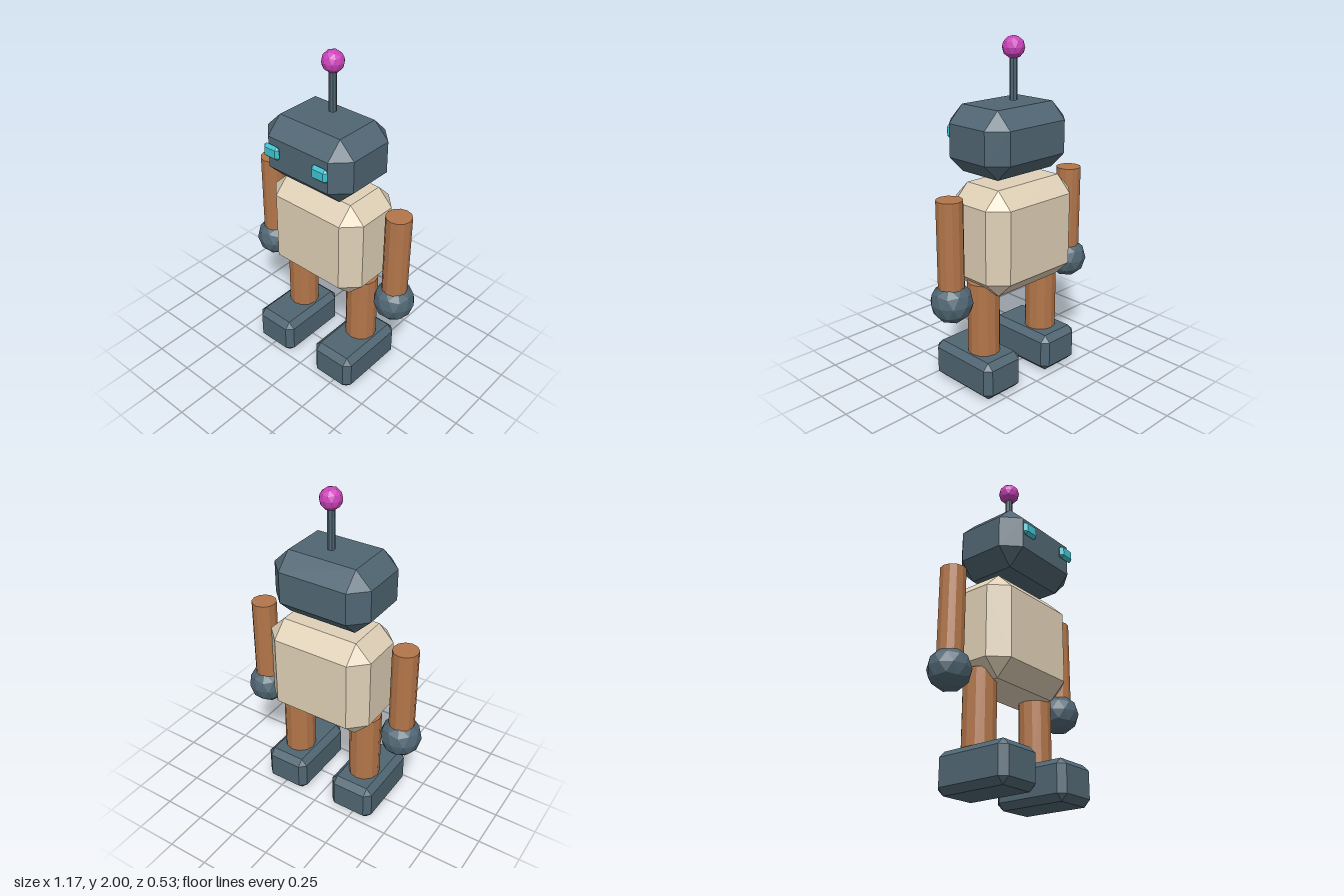
import * as THREE from 'three';
import { ConvexGeometry } from 'three/addons/geometries/ConvexGeometry.js';

const paint = (name, hex) => {
  const m = new THREE.MeshStandardMaterial({ color: hex });
  m.name = name;
  return m;
};

// Box with flat chamfers on every edge and a triangle on every corner
function chamferBox(w, h, d, b) {
  const x = w / 2, y = h / 2, z = d / 2, points = [];
  for (const sx of [-1, 1]) for (const sy of [-1, 1]) for (const sz of [-1, 1]) {
    points.push(
      new THREE.Vector3(sx * x, sy * (y - b), sz * (z - b)),
      new THREE.Vector3(sx * (x - b), sy * y, sz * (z - b)),
      new THREE.Vector3(sx * (x - b), sy * (y - b), sz * z));
  }
  return new ConvexGeometry(points);
}

// Faceted upright cylinder
function post(radius, height, sides) {
  const g = new THREE.CylinderGeometry(radius, radius, height, sides).toNonIndexed();
  g.computeVertexNormals();
  return g;
}

// Faceted ball with a vertex at each pole
function ball(radius) {
  const g = new THREE.IcosahedronGeometry(radius, 1);
  g.rotateZ(Math.atan(2 / (1 + Math.sqrt(5))));
  g.computeVertexNormals();
  return g;
}

export function createModel() {
  const slate = paint('slate', 0x506673);
  const cream = paint('cream', 0xe0d1b7);
  const copper = paint('copper', 0xb3764a);
  const cyan = paint('cyan', 0x3ec3d1);
  const magenta = paint('magenta', 0xcb43ba);

  const robot = new THREE.Group();
  robot.name = 'robot';
  const add = (name, geometry, material, x, y, z) => {
    const mesh = new THREE.Mesh(geometry, material);
    mesh.name = name;
    mesh.position.set(x, y, z);
    robot.add(mesh);
  };

  // Body, head and antenna
  add('torso', chamferBox(0.66, 0.613, 0.434, 0.095), cream, 0, 0.909, -0.05);
  add('head', chamferBox(0.61, 0.377, 0.468, 0.095), slate, 0, 1.448, -0.004);
  add('antennaRod', post(0.022, 0.26, 8), slate, 0, 1.785, -0.049);
  add('antennaBall', ball(0.063), magenta, 0, 1.937, -0.049);

  // Paired parts, left is +x
  for (const [side, s] of [['left', 1], ['right', -1]]) {
    add(side + 'Eye', chamferBox(0.11, 0.084, 0.036, 0.0175), cyan, s * 0.17, 1.469, 0.246);
    add(side + 'Arm', post(0.074, 0.55, 12), copper, s * 0.471, 0.916, -0.049);
    add(side + 'Hand', ball(0.12), slate, s * 0.471, 0.608, -0.05);
    add(side + 'Leg', post(0.094, 0.463, 12), copper, s * 0.236, 0.432, -0.05);
    add(side + 'Foot', chamferBox(0.28, 0.23, 0.468, 0.037), slate, s * 0.235, 0.115, 0.005);
  }
  return robot;
}
